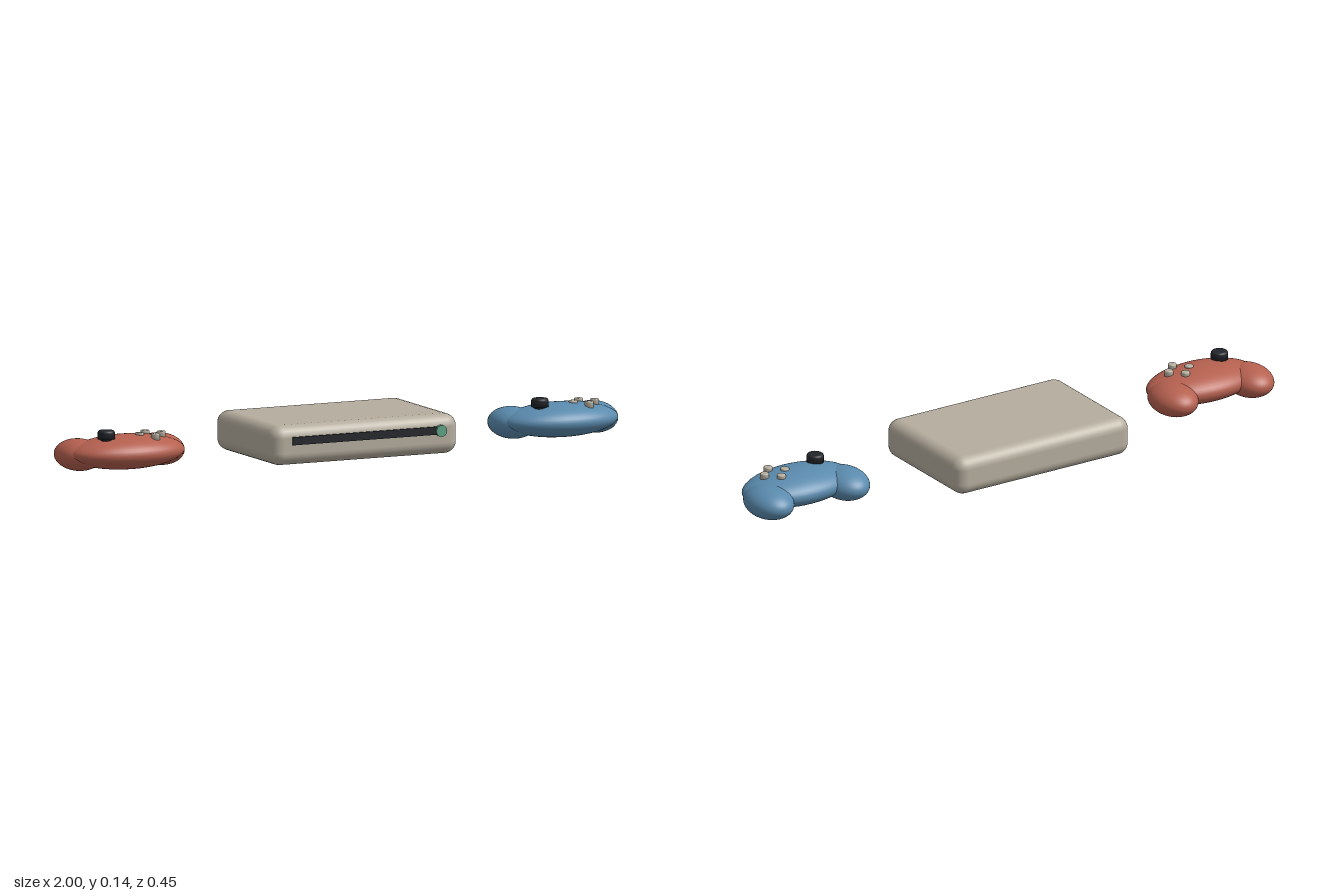
import * as THREE from 'three';
import { RoundedBoxGeometry } from 'three/addons/geometries/RoundedBoxGeometry.js';

const mat = (color) => new THREE.MeshStandardMaterial({ color });
const beige = mat(0xb5ad9e), black = mat(0x22252a), green = mat(0x5fa287);
const red = mat(0xb5604f), blue = mat(0x5a8aad);

function add(parent, name, geometry, material, x, y, z) {
  const mesh = new THREE.Mesh(geometry, material);
  mesh.name = name;
  mesh.position.set(x, y, z);
  parent.add(mesh);
  return mesh;
}

// Upright disc with a rounded upper rim, standing on y = 0
function roundedDisc(radius, height, bevel) {
  const profile = [new THREE.Vector2(0, 0), new THREE.Vector2(radius, 0)];
  for (let i = 0; i <= 4; i++) {
    const a = (i / 4) * Math.PI / 2;
    profile.push(new THREE.Vector2(radius - bevel + bevel * Math.cos(a), height - bevel + bevel * Math.sin(a)));
  }
  profile.push(new THREE.Vector2(0, height));
  return new THREE.LatheGeometry(profile, 24);
}

function ellipsoid(rx, ry, rz) {
  return new THREE.SphereGeometry(1, 40, 24).scale(rx, ry, rz);
}

function createController(name, material, x) {
  const pad = new THREE.Group();
  pad.name = name;
  pad.position.x = x;
  add(pad, 'controllerBody', ellipsoid(0.2, 0.056, 0.117), material, 0, 0.06, 0.046);
  // Grips reach towards the back
  for (const side of [-1, 1]) {
    const label = side > 0 ? 'leftGrip' : 'rightGrip';
    add(pad, label, ellipsoid(0.075, 0.0515, 0.098), material, side * 0.146, 0.0515, -0.009);
  }
  // Thumbstick
  add(pad, 'thumbstickStem', new THREE.CylinderGeometry(0.02, 0.02, 0.04, 20), black, -0.087, 0.1, 0.073);
  add(pad, 'thumbstickCap', roundedDisc(0.028, 0.028, 0.008), black, -0.087, 0.11, 0.073);
  // Four face buttons in a diamond
  for (let i = 0; i < 4; i++) {
    const a = i * Math.PI / 2;
    add(pad, 'faceButton', roundedDisc(0.0145, 0.03, 0.004), beige,
      0.077 + 0.039 * Math.cos(a), 0.091, 0.061 + 0.039 * Math.sin(a));
  }
  return pad;
}

export function createModel() {
  const model = new THREE.Group();
  model.name = 'gameConsoleSet';

  // Console with disc slot and power light on its front
  const unit = new THREE.Group();
  unit.name = 'console';
  add(unit, 'consoleCase', new RoundedBoxGeometry(0.67, 0.13, 0.44, 3, 0.04), beige, 0, 0.065, -0.005);
  add(unit, 'discSlot', new THREE.BoxGeometry(0.535, 0.026, 0.02), black, 0, 0.081, 0.21);
  const light = add(unit, 'powerLight', new THREE.CylinderGeometry(0.019, 0.019, 0.02, 24), green, 0.264, 0.08, 0.217);
  light.rotation.x = Math.PI / 2;
  model.add(unit);

  model.add(createController('rightController', red, -0.779));
  model.add(createController('leftController', blue, 0.779));
  return model;
}
